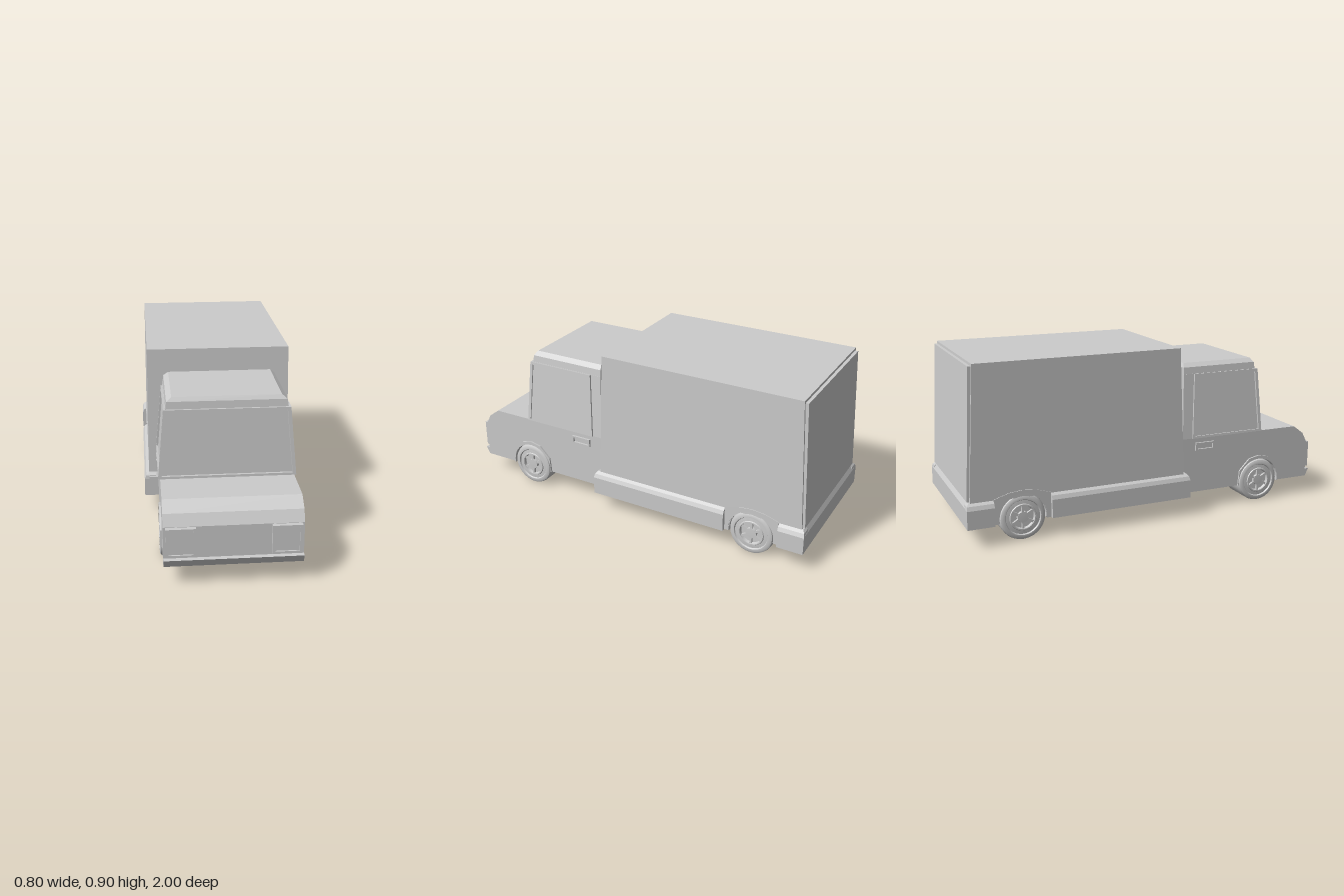
import * as THREE from 'three';
import { toCreasedNormals } from 'three/addons/utils/BufferGeometryUtils.js';
import { ConvexGeometry } from 'three/addons/geometries/ConvexGeometry.js';

const grey = new THREE.MeshStandardMaterial({ color: 0xcccccc });
const WHEEL_R = 0.118, FLOOR = 0.1;

function part(name, geometry, parent) {
  const mesh = new THREE.Mesh(geometry, grey);
  mesh.name = name;
  parent.add(mesh);
  return mesh;
}

// Stack of rectangles [y, halfWidth, zBack, zFront] wrapped in a convex skin
function tapered(levels) {
  const pts = [];
  for (const [y, hx, z0, z1] of levels)
    for (const x of [-hx, hx]) for (const z of [z0, z1]) pts.push(new THREE.Vector3(x, y, z));
  return new ConvexGeometry(pts);
}

const shapeOf = (pts) => new THREE.Shape(pts.map(([x, y]) => new THREE.Vector2(x, y)));

// Side profile of [z, y] points, extruded from x0 to x1
function sideExtrude(shape, x0, x1) {
  const g = new THREE.ExtrudeGeometry(shape, { depth: x1 - x0, bevelEnabled: false });
  return g.rotateY(-Math.PI / 2).translate(x1, 0, 0);
}

// Wheel opening, running from back to front
function arch(zc, r = 0.123) {
  const a = Math.asin((WHEEL_R - FLOOR) / r), pts = [];
  for (let i = 0; i <= 18; i++) {
    const t = Math.PI + a - (i / 18) * (Math.PI + 2 * a);
    pts.push([zc + r * Math.cos(t), WHEEL_R + r * Math.sin(t)]);
  }
  return pts;
}

// Flat frame: outer corners, with a hole for the inner corners
function frameGeometry(outer, inner, depth) {
  const shape = shapeOf(outer);
  shape.holes.push(shapeOf(inner));
  return new THREE.ExtrudeGeometry(shape, { depth, bevelEnabled: false });
}

const rect = (x0, y0, x1, y1) => [[x0, y0], [x1, y0], [x1, y1], [x0, y1]];

function wheel(name, side, xOuter, z, parent) {
  const g = new THREE.Group();
  g.name = name;
  const profile = [
    [0, -0.18], [0.104, -0.18], [0.114, -0.175], [WHEEL_R, -0.164], [WHEEL_R, -0.016],
    [0.114, -0.005], [0.104, 0], [0.092, 0], [0.088, -0.007], [0.07, -0.005], [0.067, 0],
    [0.061, 0], [0.057, -0.016], [0.03, -0.016], [0.028, -0.003], [0, -0.002],
  ].map(([r, y]) => new THREE.Vector2(r, y));
  part('tyreAndRim', toCreasedNormals(new THREE.LatheGeometry(profile, 28), 0.5), g);
  for (let i = 0; i < 6; i++) {
    const spoke = new THREE.BoxGeometry(0.034, 0.014, 0.012).translate(0.043, -0.011, 0);
    part('spoke', spoke.rotateY((i * Math.PI) / 3), g);
  }
  g.rotation.z = -side * Math.PI / 2;
  g.position.set(side * xOuter, WHEEL_R, z);
  parent.add(g);
}

export function createModel() {
  const truck = new THREE.Group();
  truck.name = 'boxTruck';
  const FRONT = 0.66, REAR = -0.715;

  // Cab lower body with bonnet and front lip
  const cab = new THREE.Group();
  cab.name = 'cab';
  truck.add(cab);
  part('cabBody', sideExtrude(shapeOf([
    [0.17, FLOOR], ...arch(FRONT), [0.98, FLOOR], [1.0, 0.14], [0.978, 0.142],
    [0.978, 0.3], [0.95, 0.355], [0.89, 0.4], [0.19, 0.4], [0.175, 0.225],
  ]), -0.326, 0.326), cab);
  const well = (name, z, hx, h) =>
    part(name, new THREE.BoxGeometry(hx * 2, h, 0.26).translate(0, FLOOR + 0.001 + h / 2, z), truck);
  well('frontWheelWell', FRONT, 0.295, 0.16);
  well('rearWheelWell', REAR, 0.335, 0.12);

  // Cabin and roof
  part('cabin', tapered([[0.4, 0.326, 0.19, 0.655], [0.745, 0.295, 0.205, 0.635]]), cab);
  part('roof', tapered([
    [0.74, 0.294, 0.205, 0.638], [0.78, 0.289, 0.207, 0.634], [0.8, 0.264, 0.217, 0.622],
  ]), cab);

  // Windscreen frame, leaning back
  const windscreen = part('windscreenFrame', frameGeometry(
    [[-0.335, 0], [0.335, 0], [0.304, 0.344], [-0.304, 0.344]],
    [[-0.318, 0.012], [0.318, 0.012], [0.289, 0.331], [-0.289, 0.331]], 0.015), cab);
  windscreen.position.set(0, 0.4, 0.655);
  windscreen.rotation.x = -Math.atan(0.02 / 0.345);

  for (const side of [1, -1]) {
    // Side window frame, leaning inwards
    const zs = (pts) => pts.map(([z, y]) => [-side * z, y]);
    const win = part('sideWindowFrame', frameGeometry(
      zs([[0.245, 0], [0.668, 0], [0.648, 0.345], [0.265, 0.345]]),
      zs([[0.259, 0.012], [0.652, 0.012], [0.634, 0.331], [0.277, 0.331]]), 0.01), cab);
    win.rotation.order = 'YXZ';
    win.rotation.set(-Math.atan(0.031 / 0.345), side * Math.PI / 2, 0);
    win.position.set(side * 0.326, 0.4, 0);

    // Door handle
    const handle = part('doorHandle', frameGeometry(
      rect(-0.056, -0.022, 0.056, 0.022), rect(-0.046, -0.013, 0.046, 0.013), 0.011), cab);
    handle.rotation.y = side * Math.PI / 2;
    handle.position.set(side * 0.326, 0.353, 0.32);

    // Headlight: rim and slightly sunk lens
    const light = new THREE.Group();
    light.name = 'headlight';
    light.position.set(side * 0.245, 0.226, 0.97);
    cab.add(light);
    part('headlightRim', frameGeometry(
      rect(-0.07, -0.072, 0.07, 0.072), rect(-0.057, -0.06, 0.057, 0.06), 0.03), light);
    part('headlightLens', new THREE.BoxGeometry(0.116, 0.122, 0.022).translate(0, 0, 0.011), light);

    // Wheel arch flares
    const flare = (name, z, outer, x0, x1) => {
      const pts = outer.map(([dz, y]) => [z + dz, y]);
      const [a, b] = side > 0 ? [x0, x1] : [-x1, -x0];
      part(name, sideExtrude(shapeOf([...arch(z), ...pts]), a, b), truck);
    };
    flare('frontArch', FRONT,
      [[0.128, FLOOR], [0.12, 0.185], [0.06, 0.247], [0, 0.26], [-0.06, 0.247], [-0.12, 0.185], [-0.128, FLOOR]],
      0.315, 0.335);
    flare('rearArch', REAR,
      [[0.145, FLOOR], [0.145, 0.23], [0.07, 0.253], [0, 0.26], [-0.07, 0.253], [-0.145, 0.23], [-0.145, FLOOR]],
      0.36, 0.379);

    wheel('frontWheel', side, 0.336, FRONT, truck);
    wheel('rearWheel', side, 0.378, REAR, truck);

    // Side skirts ahead of and behind the rear wheel, chamfered along the top
    for (const [z0, z1, cut0, cut1] of [[-0.57, 0.2, 0, 0.012], [-1, -0.862, 0.014, 0]]) {
      const pts = [];
      for (const [y, x, c] of [[FLOOR, 0.4, 0], [0.195, 0.4, 0], [0.215, 0.391, 0.3], [0.226, 0.374, 1]])
        for (const xx of [0.34, x]) for (const z of [z0 + cut0 * c, z1 - cut1 * c])
          pts.push(new THREE.Vector3(side * xx, y, z));
      part('sideSkirt', new ConvexGeometry(pts), truck);
    }
  }

  // Chassis and rear bumper
  part('chassis', sideExtrude(shapeOf([
    [-1, FLOOR], ...arch(REAR, 0.12), [0.2, FLOOR], [0.2, 0.205], [0.188, 0.226],
    [REAR + 0.1, 0.226], [REAR, 0.245], [REAR - 0.1, 0.226], [-0.986, 0.226], [-1, 0.2],
  ]), -0.374, 0.374), truck);

  // Cargo box and rear door
  part('cargoBox', tapered([[0.222, 0.375, -0.978, 0.172], [0.9, 0.37, -0.94, 0.145]]), truck);
  part('rearDoor', tapered([[0.23, 0.364, -0.99, -0.9], [0.887, 0.359, -0.957, -0.9]]), truck);

  return truck;
}
